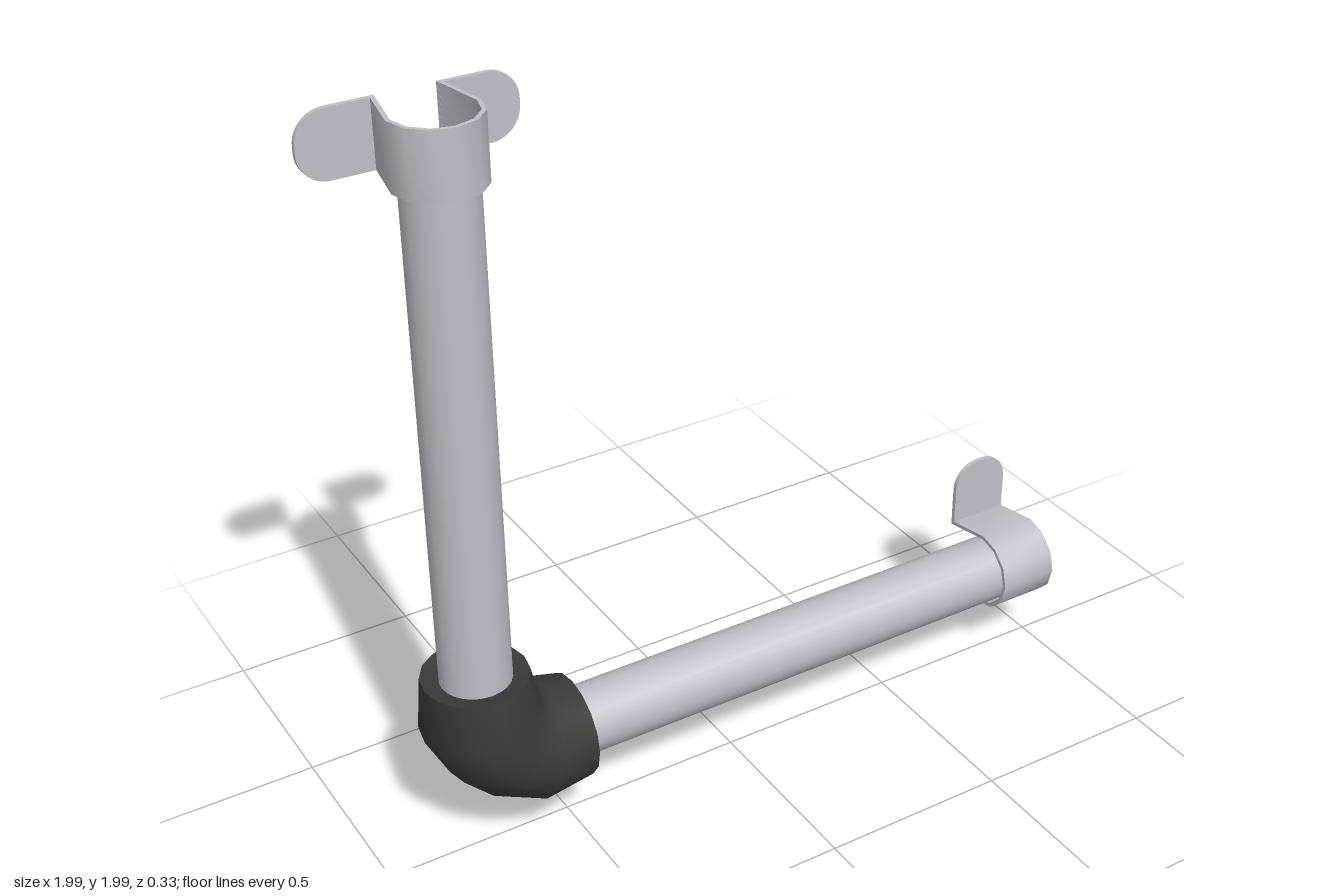
import * as THREE from 'three';
import { toCreasedNormals } from 'three/addons/utils/BufferGeometryUtils.js';

const metal = new THREE.MeshStandardMaterial({ color: 0xbfbfc6, side: THREE.DoubleSide });
metal.name = 'light grey metal';
const rubber = new THREE.MeshStandardMaterial({ color: 0x3a3a38, side: THREE.DoubleSide });
rubber.name = 'dark elbow';

const CLAMP_START = 1.56, CLAMP_END = 1.727, BACK = -0.144;

function mesh(name, geometry, material) {
  const m = new THREE.Mesh(geometry, material);
  m.name = name;
  return m;
}

// Elbow: elliptical rings spanned between an outer and an inner point of the bend
function elbowGeometry() {
  const half = [ // outer x, y, inner x, y, half depth
    [-0.09, 0.25, 0.09, 0.25, 0.09],
    [-0.137, 0.26, 0.133, 0.26, 0.138],
    [-0.147, 0.108, 0.15, 0.178, 0.163],
    [-0.087, -0.01, 0.155, 0.168, 0.163],
  ];
  const rings = [...half, ...half.map(([a, b, c, d, e]) => [b, a, d, c, e]).reverse()];
  const sides = 16, pos = [], index = [];
  rings.forEach(([ox, oy, ix, iy, depth], r) => {
    for (let s = 0; s < sides; s++) {
      const a = (s / sides) * Math.PI * 2, k = (1 + Math.cos(a)) / 2;
      pos.push(ix + (ox - ix) * k, iy + (oy - iy) * k, depth * Math.sin(a));
      if (r === rings.length - 1) continue;
      const p = r * sides + s, q = r * sides + (s + 1) % sides;
      index.push(p, p + sides, q, q, p + sides, q + sides);
    }
  });
  const g = new THREE.BufferGeometry();
  g.setAttribute('position', new THREE.Float32BufferAttribute(pos, 3));
  g.setIndex(index);
  return toCreasedNormals(g, 0.8);
}

// Clamp band: open C section, extruded along the pipe
function bandGeometry() {
  const side = (r, u) => {
    const pts = [[u, BACK]];
    for (let i = 0; i <= 6; i++) {
      const a = (i / 6) * Math.PI;
      pts.push([r * Math.cos(a), r * Math.sin(a)]);
    }
    pts.push([-u, BACK]);
    return pts;
  };
  const loop = [...side(0.111, 0.084), ...side(0.1, 0.073).reverse()];
  const shape = new THREE.Shape(loop.map(([u, z]) => new THREE.Vector2(u, -z)));
  const g = new THREE.ExtrudeGeometry(shape, { depth: CLAMP_END - CLAMP_START, bevelEnabled: false });
  g.rotateX(-Math.PI / 2).translate(0, CLAMP_START, 0);
  return toCreasedNormals(g, 0.6);
}

// Clamp flap: thin plate with a rounded tip
function flapGeometry() {
  const tip = 0.265, r = 0.075;
  const s = new THREE.Shape();
  s.moveTo(0.075, CLAMP_START);
  s.lineTo(tip - r, CLAMP_START);
  s.absarc(tip - r, CLAMP_START + r, r, -Math.PI / 2, 0, false);
  s.absarc(tip - r, CLAMP_END - r, r, 0, Math.PI / 2, false);
  s.lineTo(0.075, CLAMP_END);
  const g = new THREE.ExtrudeGeometry(s, { depth: 0.012, bevelEnabled: false, curveSegments: 5 });
  return toCreasedNormals(g.translate(0, 0, BACK), 0.6);
}

// One arm along +y: open pipe, band and two flaps
function arm(name) {
  const g = new THREE.Group();
  g.name = name;
  const pipe = new THREE.CylinderGeometry(0.091, 0.091, 1.42, 24, 1, true).translate(0, 0.93, 0);
  g.add(mesh('pipe', pipe, metal), mesh('clampBand', bandGeometry(), metal));
  for (const side of [0, 1]) {
    const flap = mesh(side ? 'clampFlapRight' : 'clampFlapLeft', flapGeometry(), metal);
    if (side) {
      flap.rotation.z = Math.PI;
      flap.position.y = CLAMP_START + CLAMP_END;
    }
    g.add(flap);
  }
  return g;
}

export function createModel() {
  const model = new THREE.Group();
  model.name = 'angledPipe';
  const body = new THREE.Group();
  body.name = 'pipeAssembly';
  body.position.set(-0.73, 0.275, 0);
  const upright = arm('uprightArm');
  const level = arm('levelArm');
  level.rotation.z = -Math.PI / 2;
  body.add(mesh('elbow', elbowGeometry(), rubber), upright, level);
  model.add(body);
  return model;
}
